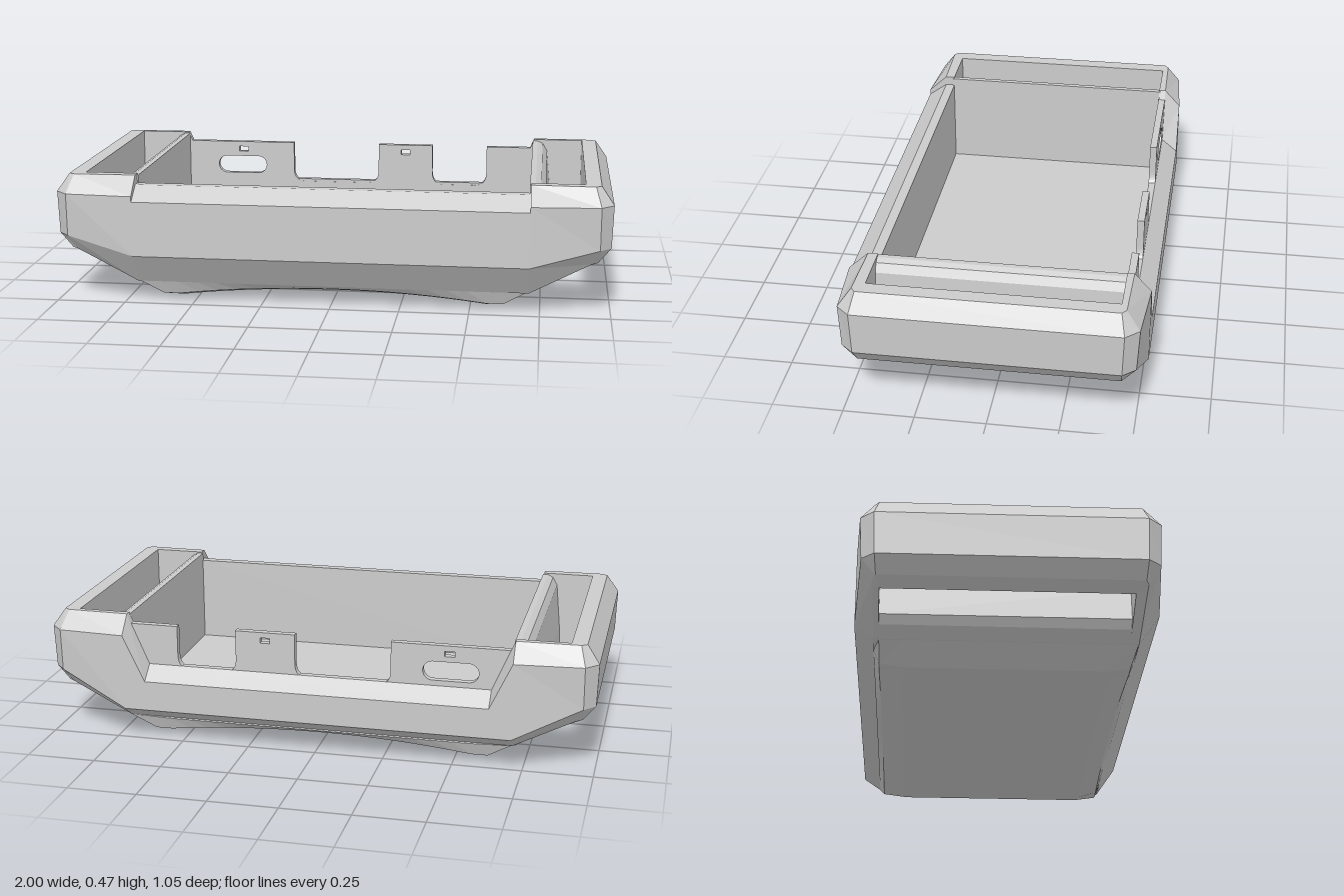
import * as THREE from 'three';

const material = new THREE.MeshStandardMaterial({ color: 0xcccccc, flatShading: true });

// Skin a row of closed cross-sections; optionally join the last one to the first
function loft(sections, closed) {
  const n = sections[0].length;
  const index = [];
  const last = closed ? sections.length : sections.length - 1;
  for (let i = 0; i < last; i++) {
    const a = i * n, b = ((i + 1) % sections.length) * n;
    for (let j = 0; j < n; j++) {
      const k = (j + 1) % n;
      index.push(a + j, a + k, b + k, a + j, b + k, b + j);
    }
  }
  const g = new THREE.BufferGeometry();
  g.setAttribute('position', new THREE.Float32BufferAttribute(sections.flat(2), 3));
  g.setIndex(index);
  g.computeVertexNormals();
  return g;
}

function shapeOf(points) {
  return new THREE.Shape(points.map(([x, y]) => new THREE.Vector2(x, y)));
}

// Straight rail section: list of [z, y] placed at one x
const rail = (x, pts) => pts.map(([z, y]) => [x, y, z]);

// Two sections that turn the frame around a corner (s = +1 front, -1 back)
function corner(s, inner) {
  const inTop = [0.9, 0.465, s * inner], inLow = [0.9, 0.165, s * inner];
  const side = [inTop, [0.935, 0.465, s * 0.46], [0.955, 0.4, s * 0.508],
    [0.955, 0.245, s * 0.5], [0.93, 0.187, s * 0.46], inLow];
  const end = [inTop, [0.955, 0.465, s * 0.445], [1, 0.4, s * 0.46],
    [0.995, 0.245, s * 0.455], [0.95, 0.19, s * 0.45], inLow];
  return s > 0 ? [side, end] : [end, side];
}

function frameGeometry() {
  const half = [
    // front wall, then the step up to the raised end
    rail(0.71, [[0.42, 0.43], [0.455, 0.43], [0.525, 0.38], [0.525, 0.18], [0.45, 0.07], [0.42, 0.07]]),
    rail(0.71, [[0.42, 0.465], [0.455, 0.465], [0.525, 0.4], [0.525, 0.18], [0.45, 0.07], [0.42, 0.07]]),
    ...corner(1, 0.42),
    ...corner(-1, 0.44),
    // back wall sloping down to the low ledge
    rail(0.71, [[-0.44, 0.465], [-0.465, 0.465], [-0.525, 0.4], [-0.525, 0.12], [-0.46, 0.075], [-0.44, 0.07]]),
    rail(0.63, [[-0.44, 0.28], [-0.465, 0.28], [-0.525, 0.23], [-0.525, 0.12], [-0.46, 0.075], [-0.44, 0.07]]),
  ];
  const mirrored = half.map(s => s.map(([x, y, z]) => [-x, y, z])).reverse();
  return loft([...half, ...mirrored], true);
}

// Floor slab with an arched underside and turned-in edges
function floorGeometry() {
  const section = (x, yb, yf, ye, zb) => [
    [x, 0.105, -0.445], [x, 0.105, 0.43], [x, ye, 0.45], [x, yf, 0.43],
    [x, yb, zb], [x, yb, -zb], [x, yf, -0.44], [x, ye, -0.46],
  ];
  const sections = [section(-0.71, 0.07, 0.071, 0.075, 0.36), section(-0.62, 0.01, 0.022, 0.072, 0.35)];
  for (let i = 0; i <= 16; i++) {
    const x = -0.56 + 0.07 * i;
    const yb = 0.035 * (1 - (x / 0.56) ** 2);
    sections.push(section(x, yb, yb + 0.022, 0.07, 0.36));
  }
  sections.push(section(0.62, 0.01, 0.022, 0.072, 0.35), section(0.71, 0.07, 0.071, 0.075, 0.36));
  return loft(sections, false);
}

// Thin back wall with two rounded notches, a long port and two pin holes
function backWallGeometry() {
  const top = 0.43, low = 0.27, r = 0.05;
  const s = new THREE.Shape();
  s.moveTo(-0.7, 0.09);
  s.lineTo(0.7, 0.09);
  s.lineTo(0.7, top);
  for (const [right, left] of [[0.52, 0.3], [0.08, -0.27]]) {
    s.lineTo(right, top);
    s.lineTo(right, low + r);
    s.quadraticCurveTo(right, low, right - r, low);
    s.lineTo(left + r, low);
    s.quadraticCurveTo(left, low, left, low + r);
    s.lineTo(left, top);
  }
  s.lineTo(-0.7, top);
  s.closePath();
  const port = new THREE.Path();
  port.absarc(-0.42, 0.335, 0.035, -Math.PI / 2, Math.PI / 2);
  port.absarc(-0.55, 0.335, 0.035, Math.PI / 2, Math.PI * 1.5);
  s.holes.push(port);
  for (const x of [-0.48, 0.19]) {
    const pin = [[-0.018, 0.39], [0.018, 0.39], [0.018, 0.41], [-0.018, 0.41]];
    s.holes.push(new THREE.Path(pin.map(([dx, y]) => new THREE.Vector2(x + dx, y))));
  }
  const g = new THREE.ExtrudeGeometry(s, { depth: 0.026, bevelEnabled: false, curveSegments: 8 });
  return g.translate(0, 0, -0.465);
}

// Strap bar between the tray and an end slot
function barGeometry(side) {
  const profile = [[0.705, 0.07], [0.715, 0.07], [0.765, 0.1], [0.785, 0.13], [0.778, 0.25],
    [0.762, 0.42], [0.745, 0.45], [0.725, 0.46], [0.705, 0.46]];
  const g = new THREE.ExtrudeGeometry(shapeOf(profile.map(([x, y]) => [side * x, y])),
    { depth: 0.87, bevelEnabled: false });
  return g.translate(0, 0, -0.445);
}

export function createModel() {
  const model = new THREE.Group();
  model.name = 'strapCase';
  const add = (name, geometry) => {
    const mesh = new THREE.Mesh(geometry, material);
    mesh.name = name;
    model.add(mesh);
  };
  add('outerFrame', frameGeometry());
  add('trayFloor', floorGeometry());
  add('backWall', backWallGeometry());
  add('leftStrapBar', barGeometry(1));
  add('rightStrapBar', barGeometry(-1));
  return model;
}
